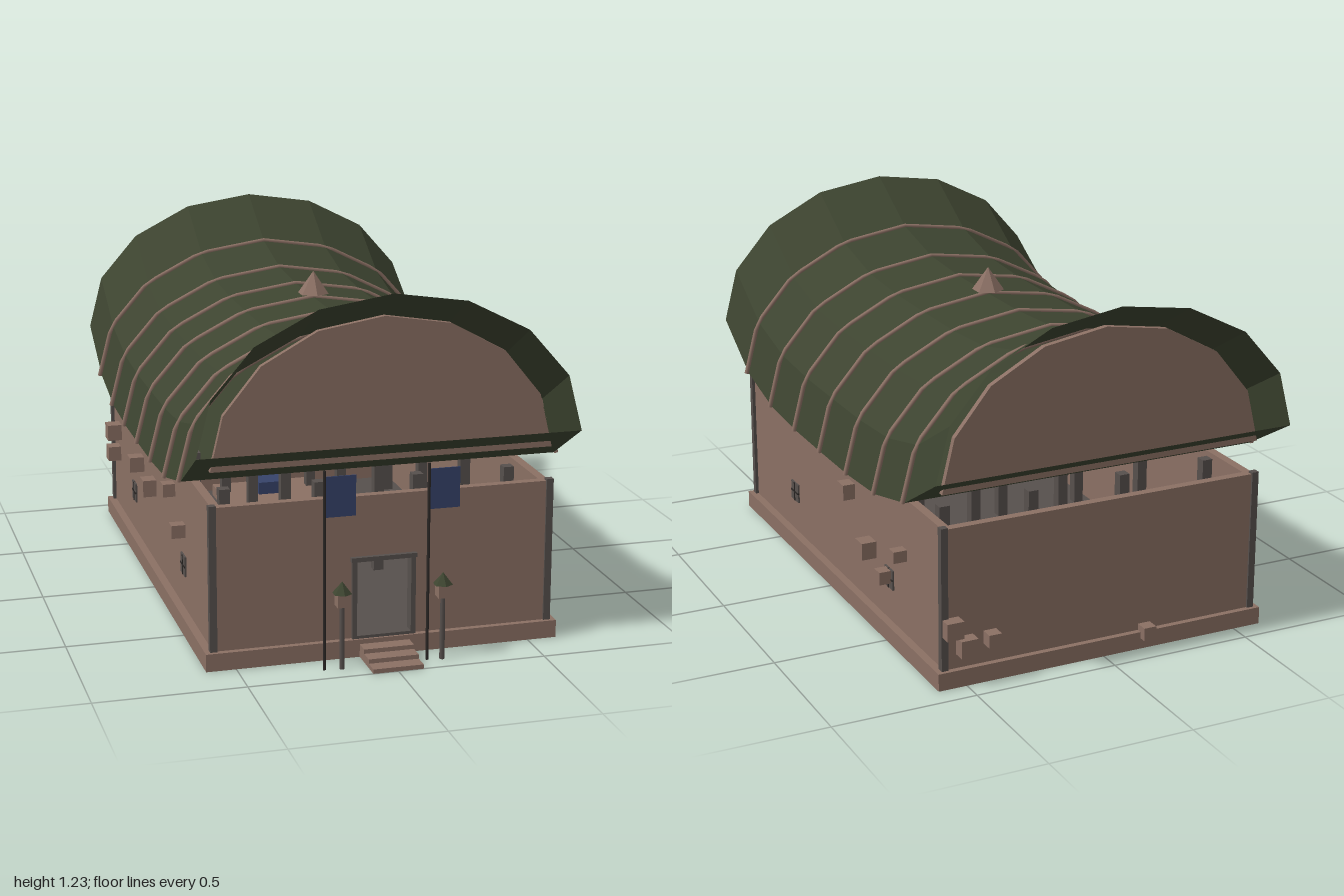
import * as THREE from 'three';

const mat = (name, color, side = THREE.FrontSide) => {
  const m = new THREE.MeshStandardMaterial({ color, side });
  m.name = name;
  return m;
};

export function createModel() {
  const model = new THREE.Group();
  const clay = mat('clay', 0x8b7064), clayTwoSided = mat('clay panel', 0x8b7064, THREE.DoubleSide);
  const grey = mat('grey timber', 0x57504d);
  const dark = mat('dark iron', 0x2c2826);
  const green = mat('roof green', 0x3d4430, THREE.DoubleSide);
  const blue = mat('blue cloth', 0x36436a, THREE.DoubleSide);

  const CZ = -0.04; // middle of the hall along z

  const add = (name, geo, material, x = 0, y = 0, z = 0, parent = model) => {
    const mesh = new THREE.Mesh(geo, material);
    mesh.name = name;
    mesh.position.set(x, y, z);
    parent.add(mesh);
    return mesh;
  };
  // box given by its limits
  const box = (name, material, x0, x1, y0, y1, z0, z1, parent) =>
    add(name, new THREE.BoxGeometry(x1 - x0, y1 - y0, z1 - z0), material,
      (x0 + x1) / 2, (y0 + y1) / 2, (z0 + z1) / 2, parent);
  const flat = (geo) => {
    const g = geo.index ? geo.toNonIndexed() : geo;
    g.computeVertexNormals();
    return g;
  };

  // plinth and steps
  box('plinth', clay, -0.6, 0.6, 0, 0.06, -0.925, 0.845);
  for (let i = 0; i < 3; i++)
    box('step', clay, -0.085, 0.085, 0, 0.0147 * (i + 1), 0.84, 1 - i * 0.052);

  // walls, with the doorway cut from the front one
  const front = new THREE.Shape();
  front.moveTo(-0.572, 0.06);
  for (const [x, y] of [[-0.095, 0.06], [-0.095, 0.33], [0.095, 0.33], [0.095, 0.06],
    [0.572, 0.06], [0.572, 0.545], [-0.572, 0.545]]) front.lineTo(x, y);
  add('frontWall', new THREE.ExtrudeGeometry(front, { depth: 0.03, bevelEnabled: false }), clay, 0, 0, 0.795);
  box('backWall', clay, -0.572, 0.572, 0.06, 0.545, -0.905, -0.875);
  for (const s of [-1, 1]) {
    const side = new THREE.BoxGeometry(0.03, 0.485, 1.67);
    add('sideWall', side, clay, s * 0.557, 0.3025, CZ);
    for (const z of [0.82, -0.9])
      box('cornerPost', grey, s * 0.571 - 0.012, s * 0.571 + 0.012, 0.06, 0.552, z - 0.012, z + 0.012);
  }
  box('floor', grey, -0.542, 0.542, 0.06, 0.066, -0.875, 0.795);

  // door frame and open leaf
  for (const s of [-1, 1])
    box('doorPost', grey, s * 0.1 - 0.008, s * 0.1 + 0.008, 0.06, 0.325, 0.795, 0.837);
  box('doorLintel', grey, -0.112, 0.112, 0.325, 0.34, 0.795, 0.84);
  box('doorSill', grey, -0.108, 0.108, 0.06, 0.07, 0.795, 0.837);
  box('doorLeaf', dark, -0.092, -0.08, 0.07, 0.32, 0.62, 0.795);

  // columns inside
  for (const z of [0.64, 0.2, -0.28, -0.72])
    for (const x of [-0.49, -0.17, 0.17, 0.49])
      box('column', grey, x - 0.018, x + 0.018, 0.066, 0.55, z - 0.018, z + 0.018);

  // seat of honour at the far end
  box('dais', clay, -0.2, 0.2, 0.066, 0.108, -0.82, -0.5);
  box('seatBack', grey, -0.062, 0.055, 0.108, 0.36, -0.8, -0.77);
  box('seatCushion', blue, -0.055, 0.052, 0.108, 0.155, -0.77, -0.64);

  // side windows: a grey plate with crossed bars
  for (const s of [-1, 1])
    for (const z of [0.395, -0.475]) {
      const x = s * 0.574;
      box('windowPane', grey, x - 0.004, x + 0.004, 0.18, 0.25, z - 0.034, z + 0.034);
      box('windowBar', dark, x - 0.006, x + 0.006, 0.212, 0.218, z - 0.034, z + 0.034);
      box('windowBar', dark, x - 0.006, x + 0.006, 0.18, 0.25, z - 0.003, z + 0.003);
    }

  // stones jutting from the side walls: side, z, y, size, outer x
  for (const [s, z, y, d, out] of [
    [1, -0.15, 0.417, 0.055, 0.615], [1, -0.33, 0.27, 0.06, 0.625], [1, -0.6, 0.348, 0.04, 0.62],
    [1, -0.475, 0.225, 0.045, 0.62], [-1, -0.77, 0.37, 0.06, 0.625], [-1, -0.79, 0.28, 0.055, 0.62],
    [-1, -0.32, 0.37, 0.055, 0.625], [-1, -0.1, 0.345, 0.06, 0.62], [-1, 0.24, 0.437, 0.045, 0.615],
    [-1, 0.4, 0.34, 0.045, 0.62]])
    add('wallStone', new THREE.BoxGeometry(out - 0.55, d, d), clay, s * (out + 0.55) / 2, y, z);
  // stones on the back wall: x, y, size
  for (const [x, y, d] of [[0.55, 0.21, 0.06], [0.5, 0.14, 0.06], [0.41, 0.15, 0.045], [-0.16, 0.06, 0.045]])
    add('wallStone', new THREE.BoxGeometry(d, d, 0.06), clay, x, y, -0.92);

  // saddle roof: half-ellipse sections whose height rises toward both ends
  const baseY = (z) => 0.525 + 0.212 * Math.pow(Math.abs((z - CZ) / 0.96), 3.8);
  const arc = (rx, ry, z, y = baseY(z)) => Array.from({ length: 9 }, (_, i) => {
    const a = (i * Math.PI) / 8;
    return new THREE.Vector3(rx * Math.cos(a), y + ry * Math.sin(a), z);
  });
  const pos = [], index = [];
  for (let k = 0; k <= 8; k++)
    for (const p of arc(0.64, 0.49, CZ + 0.96 - k * 0.24)) pos.push(p.x, p.y, p.z);
  for (let k = 0; k < 8; k++)
    for (let i = 0; i < 9; i++) {
      const a = k * 9 + i, b = k * 9 + ((i + 1) % 9); // the last strip closes the underside
      index.push(a, a + 9, b, b, a + 9, b + 9);
    }
  const roof = new THREE.BufferGeometry();
  roof.setAttribute('position', new THREE.Float32BufferAttribute(pos, 3));
  roof.setIndex(index);
  add('roof', flat(roof), green);

  // gable panels set back inside the roof ends
  for (const z of [0.815, -0.895]) {
    const shape = new THREE.Shape(arc(0.575, 0.473, 0, 0.662).map((p) => new THREE.Vector2(p.x, p.y)));
    add('gable', new THREE.ExtrudeGeometry(shape, { depth: 0.02, bevelEnabled: false }), clayTwoSided, 0, 0, z - 0.01);
  }

  // ribs over the roof
  for (let k = 1; k < 8; k++) {
    const pts = arc(0.648, 0.492, CZ + 0.96 - k * 0.24);
    const path = new THREE.CurvePath();
    for (let i = 0; i < 8; i++) path.add(new THREE.LineCurve3(pts[i], pts[i + 1]));
    add('roofRib', new THREE.TubeGeometry(path, 32, 0.008, 6), clay);
  }
  add('finial', flat(new THREE.ConeGeometry(0.056, 0.08, 6)), clay, 0, 1.07, CZ);

  // lanterns beside the steps
  for (const s of [-1, 1]) {
    const lantern = new THREE.Group();
    lantern.name = 'lantern';
    lantern.position.set(s * 0.17, 0, 0.93);
    model.add(lantern);
    add('lanternPost', new THREE.CylinderGeometry(0.008, 0.009, 0.22, 6), grey, 0, 0.11, 0, lantern);
    box('lanternBox', clay, -0.02, 0.02, 0.215, 0.26, -0.02, 0.02, lantern);
    add('lanternRoof', flat(new THREE.ConeGeometry(0.033, 0.04, 6)), green, 0, 0.278, 0, lantern);
  }

  // banners on poles
  for (const x of [-0.228, 0.12]) {
    add('bannerPole', new THREE.CylinderGeometry(0.005, 0.005, 0.67, 6), dark, x, 0.335, 0.925);
    box('banner', blue, x + 0.004, x + 0.104, 0.515, 0.65, 0.923, 0.927);
  }
  return model;
}
